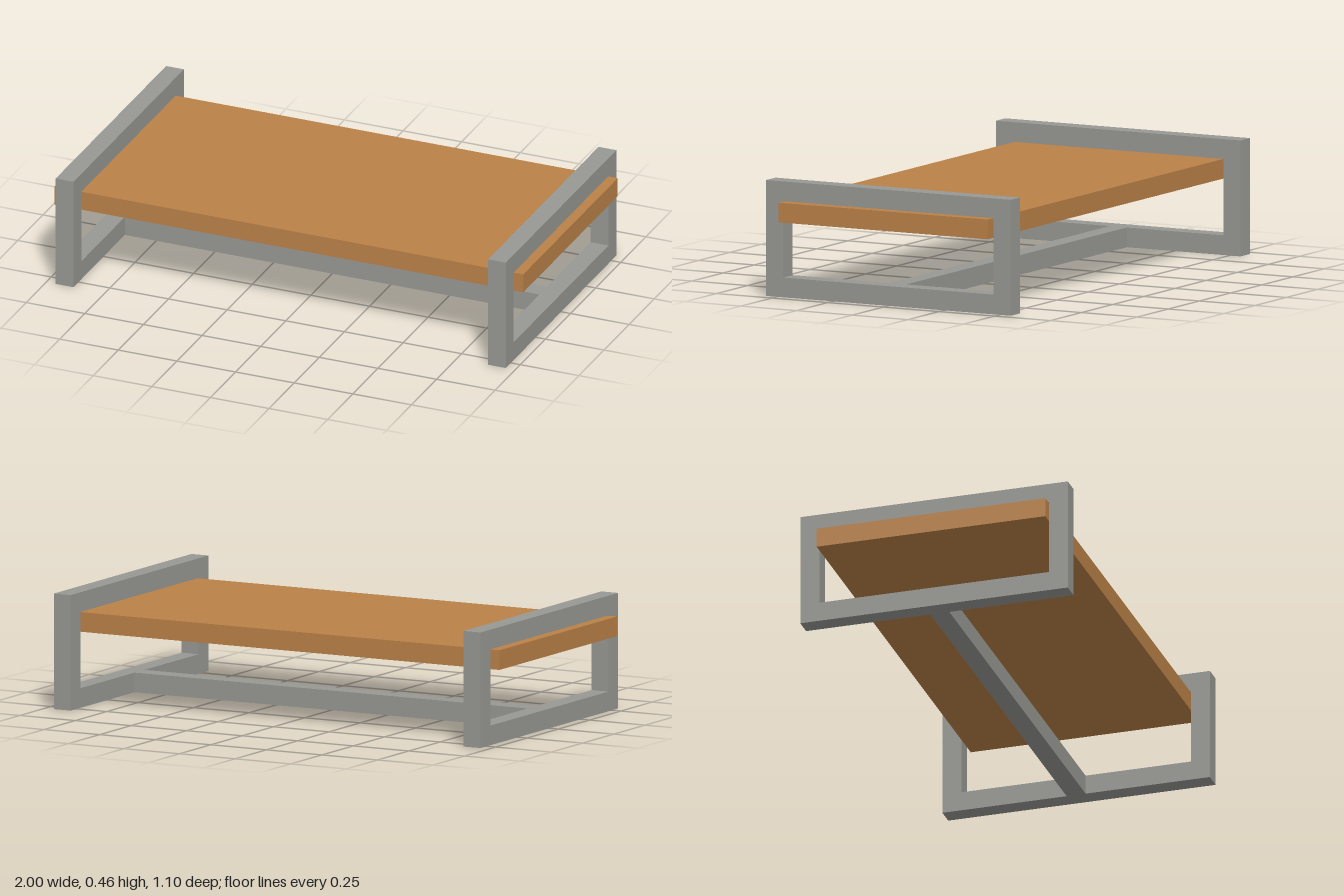
import * as THREE from 'three';

export function createModel() {
  const model = new THREE.Group();
  model.name = 'coffeeTable';

  const wood = new THREE.MeshStandardMaterial({ color: 0xba8147 });
  wood.name = 'warm wood';
  const steel = new THREE.MeshStandardMaterial({ color: 0x979893 });
  steel.name = 'grey steel';

  const bar = 0.078;       // section of the steel bars
  const height = 0.459;    // frame height
  const halfDepth = 0.55;  // frame half depth
  const frameX = 0.922;    // centre of each end frame
  const frameWidth = 0.076;

  const addBox = (name, size, y, material) => {
    const mesh = new THREE.Mesh(new THREE.BoxGeometry(...size), material);
    mesh.name = name;
    mesh.position.y = y;
    model.add(mesh);
  };

  // Rectangular end frame: outline with a hole, extruded along x
  const outline = new THREE.Shape([
    new THREE.Vector2(-halfDepth, 0), new THREE.Vector2(halfDepth, 0),
    new THREE.Vector2(halfDepth, height), new THREE.Vector2(-halfDepth, height),
  ]);
  const inZ = halfDepth - bar;
  outline.holes.push(new THREE.Path([
    new THREE.Vector2(-inZ, bar), new THREE.Vector2(-inZ, height - bar),
    new THREE.Vector2(inZ, height - bar), new THREE.Vector2(inZ, bar),
  ]));
  const frameGeometry = new THREE.ExtrudeGeometry(outline, { depth: frameWidth, bevelEnabled: false });
  frameGeometry.translate(0, 0, -frameWidth / 2);
  frameGeometry.rotateY(Math.PI / 2);

  for (const [name, side] of [['leftFrame', 1], ['rightFrame', -1]]) {
    const frame = new THREE.Mesh(frameGeometry, steel);
    frame.name = name;
    frame.position.x = side * frameX;
    model.add(frame);
  }

  // Stretcher between the frames, along the floor
  addBox('stretcher', [2 * frameX - frameWidth, bar, bar], bar / 2, steel);

  // Tabletop slab threaded through both frames
  addBox('tabletop', [2, bar, 2 * inZ - 0.004], height - bar * 1.5 - 0.001, wood);

  return model;
}
